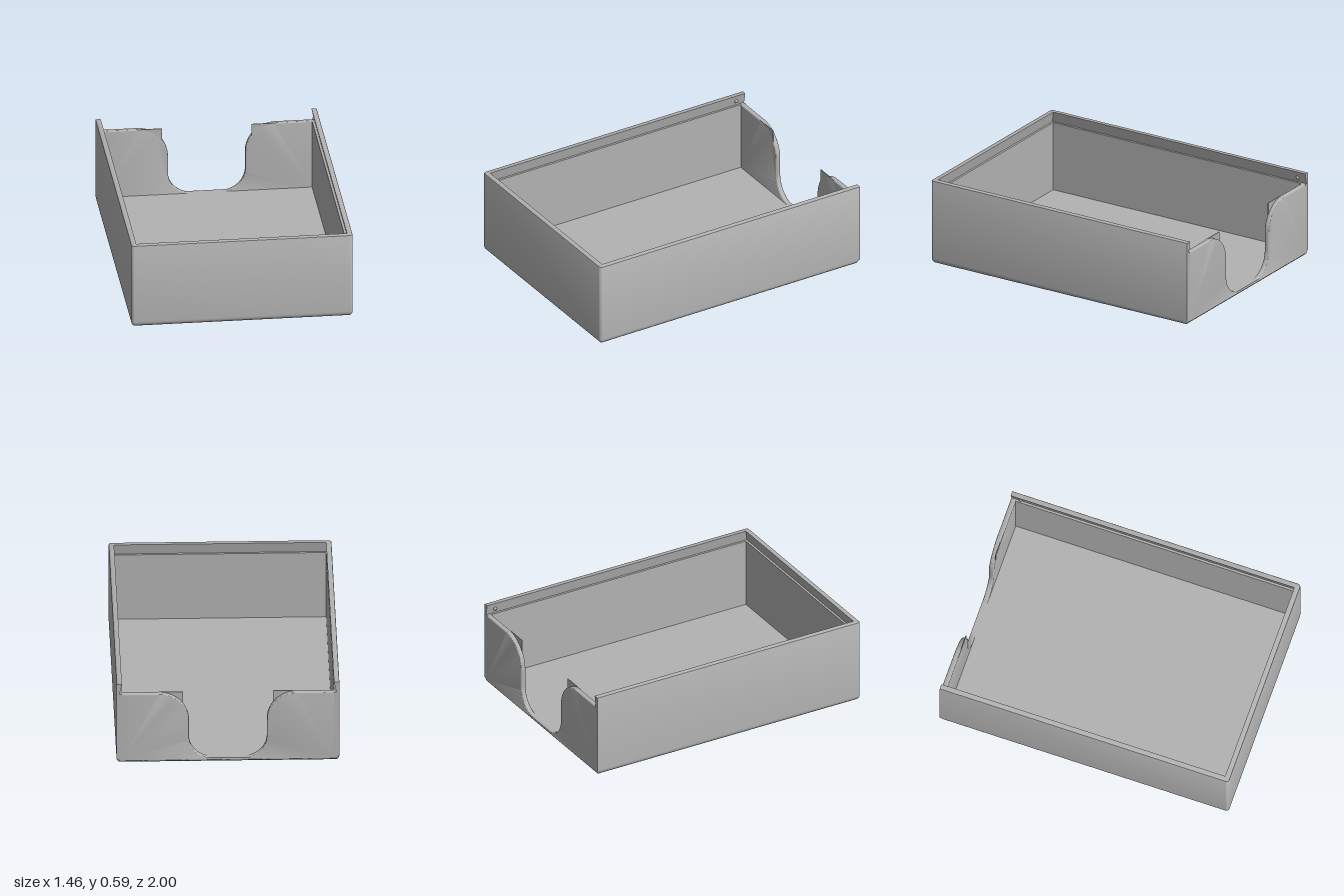
import * as THREE from 'three';
import { toCreasedNormals } from 'three/addons/utils/BufferGeometryUtils.js';

const HX = 0.73, HZ = 1, TOP = 0.59;   // half width, half length, rim height
const WALL = 0.035, FLOOR = 0.04, LEDGE = 0.515;
const CORNER = 0.02, BOTTOM = 0.004;

// One horizontal outline, inset by d from the outer faces, at height y
function outline(d, y, closed) {
  const points = [];
  const inset = Math.max(CORNER, d), radius = Math.max(0, CORNER - d);
  const corners = [[-1, 1], [1, 1], [1, -1], [-1, -1]].slice(0, closed ? 4 : 2);
  if (!closed) points.push([d - HX, y, -HZ]);
  corners.forEach(([sx, sz], k) => {
    for (let i = 0; i <= 6; i++) {
      const a = (k + i / 6) * Math.PI / 2;
      points.push([
        sx * (HX - inset) - radius * Math.cos(a), y,
        sz * (HZ - inset) + radius * Math.sin(a)]);
    }
  });
  points.push(closed ? points[0] : [HX - d, y, -HZ]);
  return points;
}

// Surface through the outlines of a profile of [inset, height] pairs
function sweep(profile, closed) {
  const rows = profile.map(([d, y]) => outline(d, y, closed));
  const pos = [];
  for (let i = 0; i < rows.length - 1; i++) {
    for (let j = 0; j < rows[i].length - 1; j++) {
      const a = rows[i][j], b = rows[i][j + 1], c = rows[i + 1][j + 1], e = rows[i + 1][j];
      pos.push(...a, ...b, ...e, ...b, ...c, ...e);
    }
  }
  const g = new THREE.BufferGeometry();
  g.setAttribute('position', new THREE.Float32BufferAttribute(pos, 3));
  g.computeVertexNormals();
  return toCreasedNormals(g, 0.6);
}

export function createModel() {
  const model = new THREE.Group();
  const grey = new THREE.MeshStandardMaterial({ color: 0xb2b2b2 });
  grey.name = 'grey plastic';

  const add = (name, geometry, x = 0, y = 0, z = 0) => {
    const mesh = new THREE.Mesh(geometry, grey);
    mesh.name = name;
    mesh.position.set(x, y, z);
    model.add(mesh);
    return mesh;
  };

  // Floor slab with a rounded lower edge
  const base = [[HX, BOTTOM]];
  const r = FLOOR - BOTTOM;
  for (let i = 0; i <= 8; i++) {
    const a = i / 8 * Math.PI / 2;
    base.push([r * (1 - Math.sin(a)), FLOOR - r * Math.cos(a)]);
  }
  base.push([HX, FLOOR]);
  add('floor', sweep(base, true));

  // Side and front walls with an undercut groove for a sliding lid
  const wall = [
    [0, FLOOR], [0, TOP - 0.006], [0.002, TOP - 0.002], [0.006, TOP],
    [WALL, TOP], [0.02, LEDGE], [WALL, LEDGE], [WALL, FLOOR]];
  add('sideAndFrontWalls', sweep(wall, false));
  for (const s of [-1, 1]) {
    const end = new THREE.Shape(wall.map(([d, y]) => new THREE.Vector2(s * d, y)));
    add('wallEnd', new THREE.ShapeGeometry(end).rotateY(Math.PI), s * HX, 0, -HZ);
    // Catch for the lid inside the groove
    add('lidCatch', new THREE.SphereGeometry(0.013, 16, 10), s * 0.706, 0.547, -0.935);
  }

  // Low back wall with a flared finger cutout
  const half = Math.PI / 2, edge = 0.715, low = FLOOR - 0.02;
  const R = 0.2, q = 0.155, gap = 0.255;
  const back = new THREE.Shape();
  back.moveTo(-edge, low);
  back.lineTo(edge, low);
  back.lineTo(edge, LEDGE);
  back.absarc(gap + R, LEDGE - R, R, half, Math.PI, false);
  back.absarc(gap - q, FLOOR + q, q, 0, -half, true);
  back.absarc(q - gap, FLOOR + q, q, -half, -Math.PI, true);
  back.absarc(-gap - R, LEDGE - R, R, 0, half, false);
  back.lineTo(-edge, LEDGE);
  back.closePath();
  const bevel = 0.008;
  const backGeometry = new THREE.ExtrudeGeometry(back, {
    depth: WALL - 2 * bevel, bevelThickness: bevel, bevelSize: bevel,
    bevelOffset: -bevel, bevelSegments: 4, curveSegments: 20 });
  add('backWall', toCreasedNormals(backGeometry, 0.6), 0, 0, -HZ + bevel);

  // Square-cornered tabs on the inner face above the flare
  for (const s of [-1, 1]) {
    const tab = new THREE.Shape();
    const tip = 0.295;
    for (let i = 0; i <= 10; i++) {
      const a = half + i / 10 * (Math.acos((tip - gap - R) / R) - half);
      const p = [s * (gap + R + R * Math.cos(a)), LEDGE - R + R * Math.sin(a) - 0.006];
      if (i) tab.lineTo(...p); else tab.moveTo(...p);
    }
    tab.lineTo(s * tip, LEDGE);
    tab.lineTo(s * (gap + R), LEDGE);
    add('backTab', new THREE.ExtrudeGeometry(tab, { depth: 0.006, bevelEnabled: false }),
      0, 0, -HZ + WALL - 0.006);
  }

  // Four small feet, each of four tiles
  for (const sx of [-1, 1]) for (const sz of [-1, 1]) {
    for (const tx of [-1, 1]) for (const tz of [-1, 1]) {
      add('footTile', new THREE.BoxGeometry(0.056, 0.008, 0.056),
        sx * 0.62 + tx * 0.031, 0.004, sz * 0.89 + tz * 0.031);
    }
  }
  return model;
}
